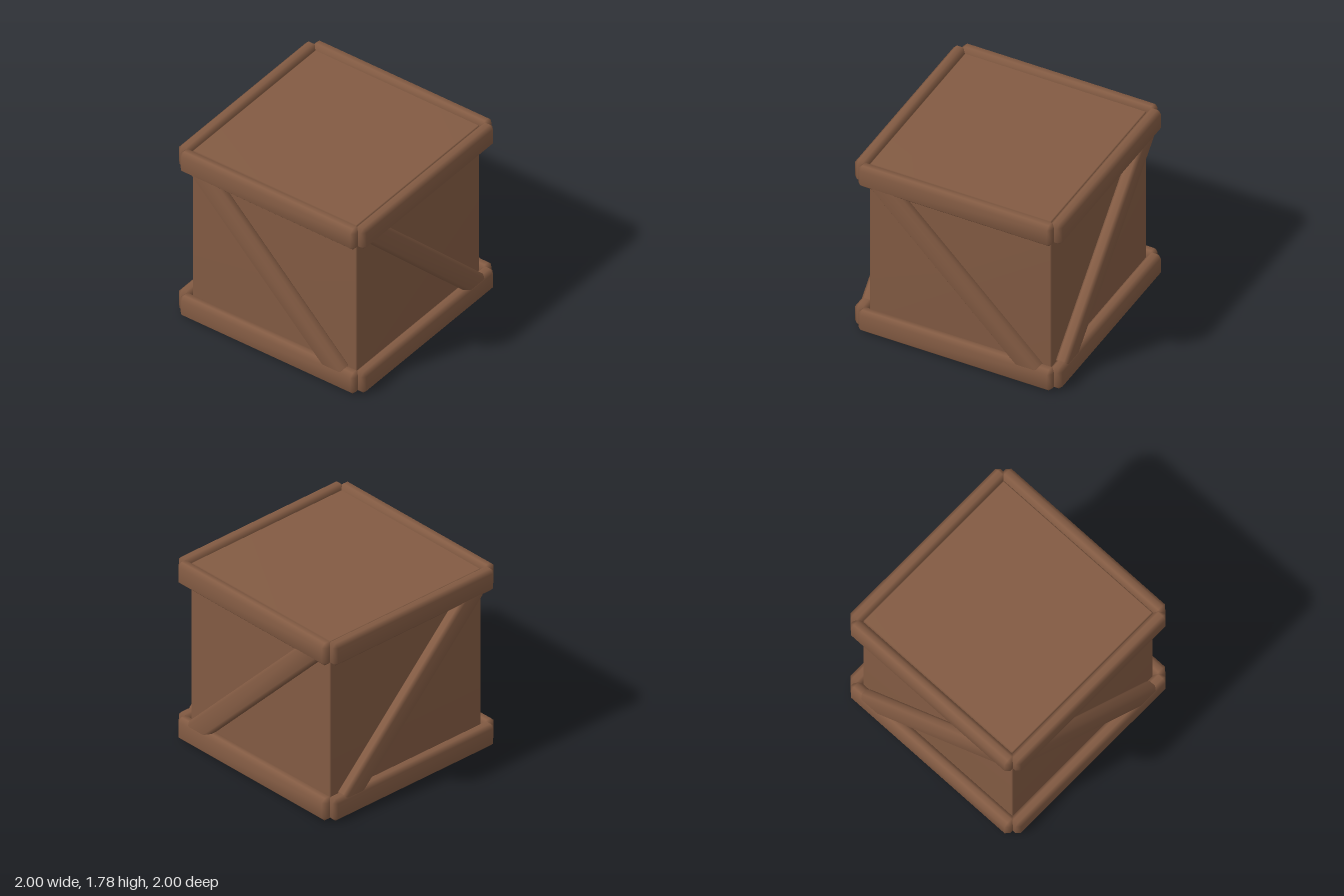
import * as THREE from 'three';
import { ConvexGeometry } from 'three/addons/geometries/ConvexGeometry.js';
import { mergeVertices } from 'three/addons/utils/BufferGeometryUtils.js';

// Box with every edge chamfered by c and softly shaded normals.
function chamferBox(w, h, d, c) {
  const half = [w / 2, h / 2, d / 2];
  const points = [];
  for (const sx of [-1, 1]) for (const sy of [-1, 1]) for (const sz of [-1, 1]) {
    for (let full = 0; full < 3; full++) {
      const p = half.map((v, i) => (i === full ? v : v - c));
      points.push(new THREE.Vector3(p[0] * sx, p[1] * sy, p[2] * sz));
    }
  }
  let geometry = new ConvexGeometry(points);
  geometry.deleteAttribute('normal');
  geometry = mergeVertices(geometry);
  geometry.computeVertexNormals();
  return geometry;
}

export function createModel() {
  const wood = new THREE.MeshStandardMaterial({ color: 0x835b43 });
  wood.name = 'brown wood';

  const crate = new THREE.Group();
  crate.name = 'crate';
  const midY = 0.888;

  function add(parent, name, geometry, x, y, z) {
    const mesh = new THREE.Mesh(geometry, wood);
    mesh.name = name;
    mesh.position.set(x, y, z);
    parent.add(mesh);
    return mesh;
  }

  // Inner box, slightly recessed inside the rims
  add(crate, 'boxPanels', chamferBox(1.755, 1.715, 1.755, 0.012), 0, midY, 0);

  const beam = chamferBox(1.87, 0.22, 0.12, 0.035);
  const brace = chamferBox(2.14, 0.2, 0.12, 0.03);

  // Each side: bottom and top beam plus one diagonal brace.
  // Opposite braces run parallel, so the lean flips on back and left.
  const sides = [
    ['front', 0, -1],
    ['right', Math.PI / 2, -1],
    ['back', Math.PI, 1],
    ['left', -Math.PI / 2, 1],
  ];
  for (const [name, turn, lean] of sides) {
    const side = new THREE.Group();
    side.name = name + 'Frame';
    side.rotation.y = turn;
    add(side, 'bottomBeam', beam, 0, 0.11, 0.94);
    add(side, 'topBeam', beam, 0, 1.666, 0.94);
    add(side, 'diagonalBrace', brace, 0, midY, 0.934).rotation.z = lean * Math.PI / 4;
    crate.add(side);
  }
  return crate;
}
